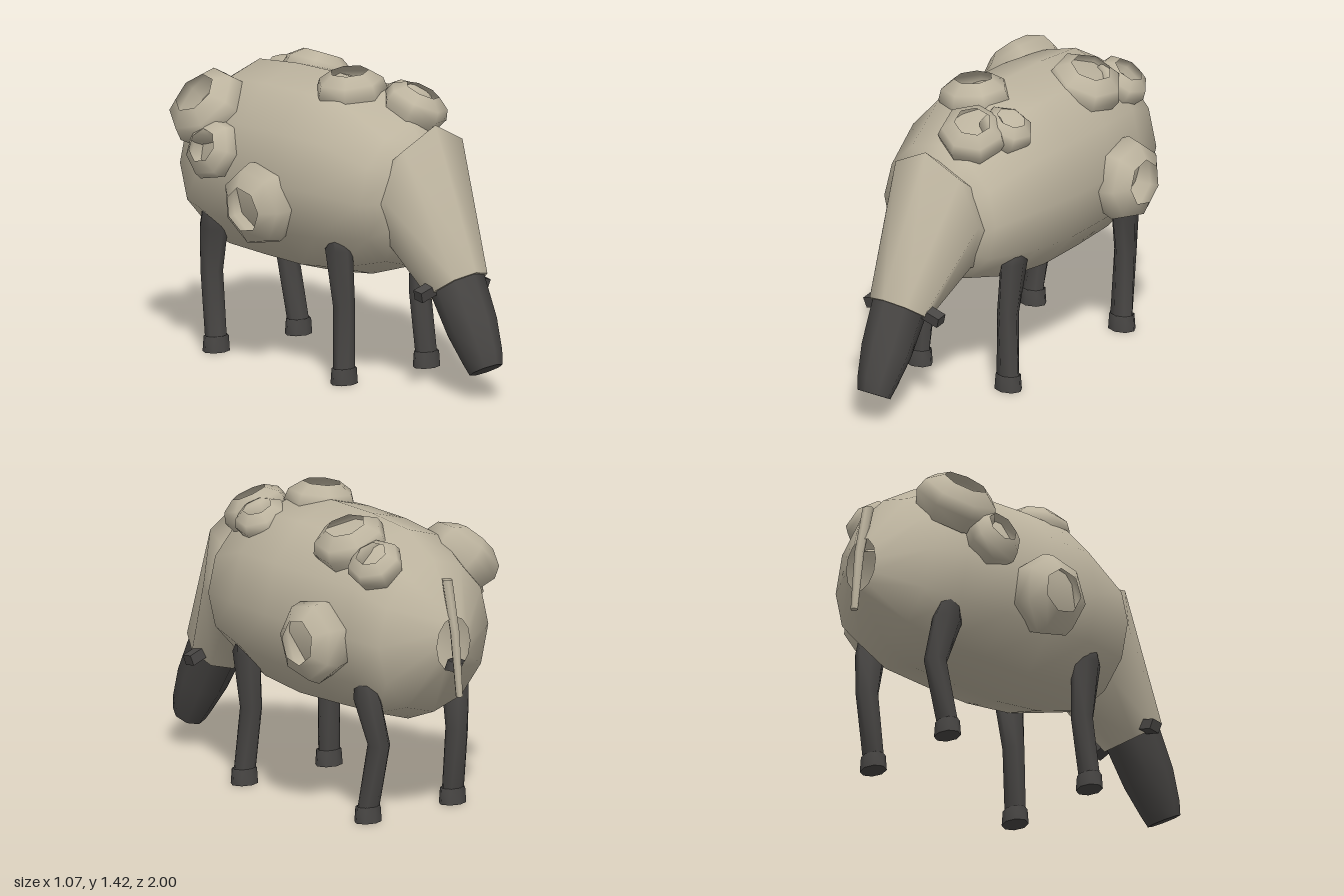
import * as THREE from 'three';

const wool = new THREE.MeshStandardMaterial({ color: 0xbdb49f, side: THREE.DoubleSide });
const dark = new THREE.MeshStandardMaterial({ color: 0x484644, side: THREE.DoubleSide });

// Skin elliptical rings [x, y, z, halfWidth, vy, vz]; (vy, vz) is the ring's second half-axis.
function loft(rings, sides, capEnd = false) {
  const pos = [], idx = [];
  const addRing = ([x, y, z, w, vy, vz]) => {
    for (let i = 0; i < sides; i++) {
      const a = (i / sides) * Math.PI * 2, c = Math.cos(a), s = Math.sin(a);
      pos.push(x + c * w, y + s * vy, z + s * vz);
    }
  };
  rings.forEach(addRing);
  for (let r = 0; r < rings.length - 1; r++) {
    for (let i = 0; i < sides; i++) {
      const j = (i + 1) % sides, a = r * sides, b = a + sides;
      idx.push(a + i, a + j, b + i, a + j, b + j, b + i);
    }
  }
  if (capEnd) {
    const base = pos.length / 3;
    addRing(rings[rings.length - 1]);
    for (let i = 1; i < sides - 1; i++) idx.push(base, base + i, base + i + 1);
  }
  const geo = new THREE.BufferGeometry();
  geo.setAttribute('position', new THREE.Float32BufferAttribute(pos, 3));
  geo.setIndex(idx);
  geo.computeVertexNormals();
  return geo;
}

export function createModel() {
  const model = new THREE.Group();
  const add = (name, geo, mat, parent = model) => {
    const mesh = new THREE.Mesh(geo, mat);
    mesh.name = name;
    parent.add(mesh);
    return mesh;
  };

  // Barrel body, open at the rump
  add('body', loft([
    [0, 0.86, -0.94, 0.1, 0.13, 0],
    [0, 0.87, -0.8, 0.33, 0.36, 0],
    [0, 0.89, -0.62, 0.38, 0.45, 0],
    [0, 0.9, -0.36, 0.415, 0.465, 0],
    [0, 0.9, -0.1, 0.42, 0.47, 0],
    [0, 0.91, 0.15, 0.41, 0.45, 0],
    [0, 0.88, 0.42, 0.32, 0.335, 0],
    [0, 0.88, 0.49, 0.2, 0.25, 0],
  ], 12), wool);

  // Lowered neck and head, then the dark muzzle
  add('neck', loft([
    [0.02, 0.85, 0.42, 0.25, 0.28, 0.01],
    [0.02, 0.9, 0.5, 0.26, 0.33, 0.06],
    [0, 0.505, 0.74, 0.145, 0.085, 0.12],
  ], 8, true), wool);
  add('muzzle', loft([
    [0, 0.52, 0.73, 0.13, 0.08, 0.11],
    [0, 0.33, 0.835, 0.12, 0.062, 0.105],
    [0, 0.2, 0.905, 0.095, 0.048, 0.085],
    [0, 0.143, 0.93, 0.08, 0.038, 0.07],
  ], 8, true), dark);

  for (const side of [-1, 1]) {
    const label = side > 0 ? 'left' : 'right';

    // Small sideways ear
    const ear = add(label + 'Ear', new THREE.BoxGeometry(0.1, 0.05, 0.055), dark);
    ear.position.set(side * 0.16, 0.495, 0.695);
    ear.rotation.set(0.15, 0, side * -0.3);

    // Legs: thick thigh, knee, thin shin, hoof
    const leg = (name, stations, hoofZ) => {
      const group = new THREE.Group();
      group.name = name;
      model.add(group);
      add('limb', loft(stations.map(([x, y, z, rx, rz]) => [side * x, y, z, rx, 0, rz]), 7), dark, group);
      add('hoof', loft([
        [side * 0.255, 0.075, hoofZ, 0.06, 0, 0.045],
        [side * 0.255, 0.072, hoofZ, 0.065, 0, 0.05],
        [side * 0.255, 0, hoofZ, 0.07, 0, 0.055],
      ], 8, true), dark, group);
    };
    leg(label + 'FrontLeg', [
      [0.28, 0.69, 0.225, 0.035, 0.015],
      [0.265, 0.63, 0.21, 0.055, 0.08],
      [0.235, 0.36, 0.215, 0.05, 0.055],
      [0.255, 0.06, 0.24, 0.058, 0.042],
    ], 0.24);
    leg(label + 'HindLeg', [
      [0.28, 0.67, -0.64, 0.035, 0.055],
      [0.265, 0.58, -0.645, 0.055, 0.08],
      [0.235, 0.37, -0.69, 0.05, 0.058],
      [0.255, 0.06, -0.635, 0.058, 0.042],
    ], -0.635);
  }

  // Thin hanging tail
  add('tail', loft([
    [0, 1.16, -0.895, 0.025, 0, 0.027],
    [0, 0.92, -0.95, 0.024, 0, 0.022],
    [0, 0.62, -0.982, 0.018, 0, 0.017],
  ], 6, true), wool);

  // Open-topped wool tufts: position, outward direction, radius
  const profile = [[0.85, -0.4], [1, 0], [0.9, 0.3], [0.53, 0.55]].map(([r, h]) => new THREE.Vector2(r, h));
  const tuftGeo = new THREE.LatheGeometry(profile, 7);
  const up = new THREE.Vector3(0, 1, 0);
  [
    [0.415, 0.85, -0.45, 1, 0.08, 0, 0.2],
    [-0.415, 0.8, -0.16, -1, -0.1, 0, 0.2],
    [-0.4, 1.0, -0.49, -0.93, 0.35, 0, 0.15],
    [-0.31, 1.16, -0.63, -0.7, 0.7, -0.1, 0.2],
    [0.19, 1.27, -0.44, 0.35, 0.9, 0, 0.18],
    [0.23, 1.22, -0.66, 0.5, 0.8, -0.15, 0.135],
    [-0.06, 1.32, 0.07, -0.1, 1, 0, 0.17],
    [0.11, 1.26, 0.32, 0.25, 0.85, 0.3, 0.16],
    [0.2, 1.26, 0.18, 0.4, 0.9, 0, 0.13],
  ].forEach(([x, y, z, nx, ny, nz, r], i) => {
    const tuft = add('woolTuft' + (i + 1), tuftGeo, wool);
    tuft.position.set(x, y, z);
    tuft.quaternion.setFromUnitVectors(up, new THREE.Vector3(nx, ny, nz).normalize());
    tuft.scale.setScalar(r);
  });

  return model;
}
